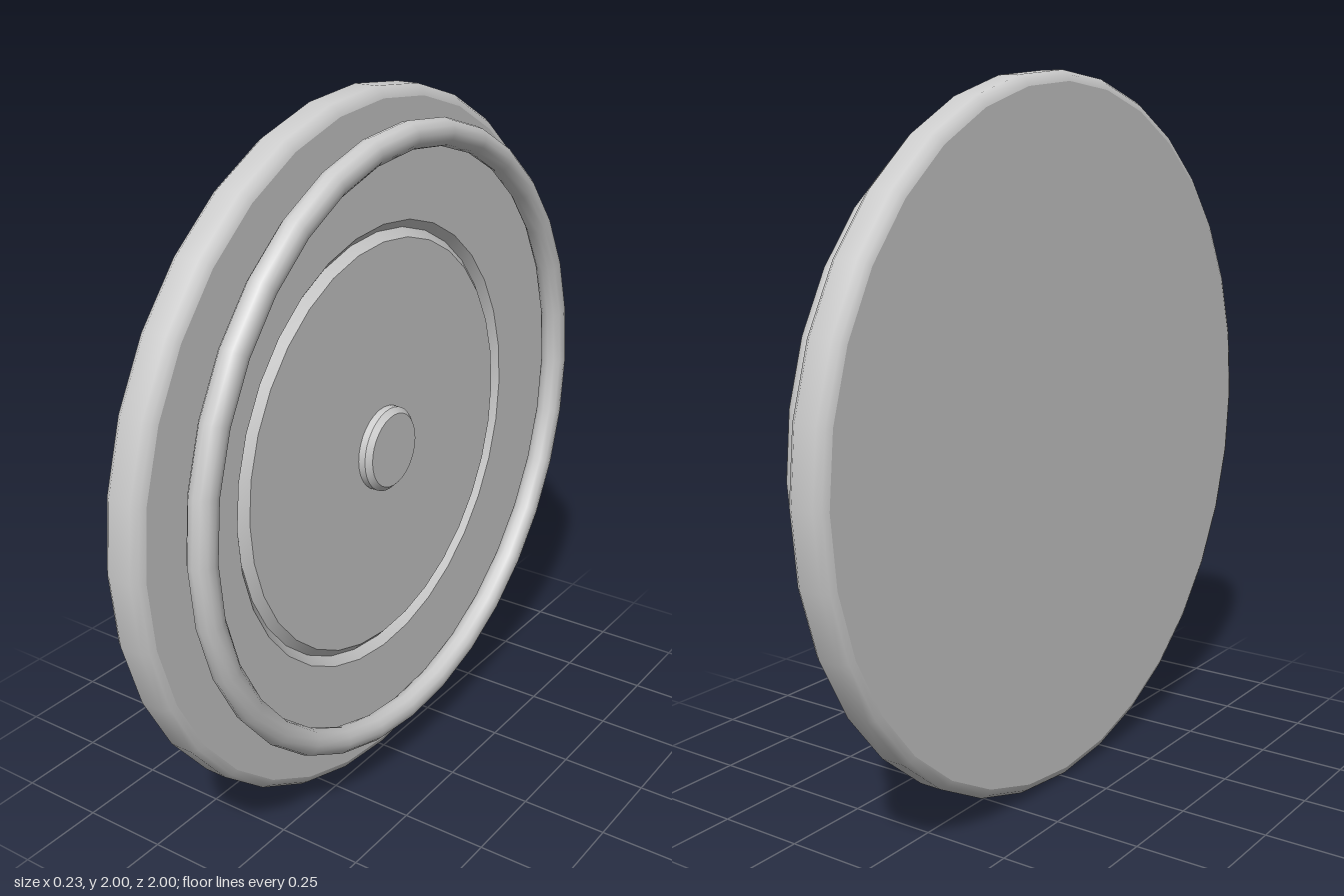
import * as THREE from 'three';
import { toCreasedNormals } from 'three/addons/utils/BufferGeometryUtils.js';

const SIDES = 32;

export function createModel() {
  const model = new THREE.Group();
  model.name = 'roundPlateWithRing';
  const material = new THREE.MeshStandardMaterial({ color: 0xcccccc });

  const add = (name, geometry, x, y) => {
    const mesh = new THREE.Mesh(geometry, material);
    mesh.name = name;
    mesh.position.set(x, y, 0);
    model.add(mesh);
    return mesh;
  };

  // Turns a [radius, x] profile around the x axis
  const turned = (name, profile, smooth = false) => {
    const points = profile.map(([r, x]) => new THREE.Vector2(r, x));
    let geometry = new THREE.LatheGeometry(points, SIDES);
    if (!smooth) geometry = toCreasedNormals(geometry, 0.3);
    geometry.rotateZ(-Math.PI / 2);
    return add(name, geometry, 0, 1);
  };

  // Plate: flat back, softly rounded rim, front face with a V groove
  turned('plateBack', [[0, -0.114], [0.97, -0.114]]);
  turned('plateRim', [
    [0.97, -0.114], [0.988, -0.107], [1, -0.09],
    [1, -0.024], [0.988, -0.007], [0.97, 0],
  ], true);
  turned('plateFront', [
    [0.97, 0], [0.642, 0], [0.618, -0.022], [0.594, 0], [0, 0],
  ]);

  // Small chamfered hub in the middle
  turned('hub', [[0.122, 0], [0.122, 0.021], [0.107, 0.036], [0, 0.036]]);

  // Ring floating in front of the plate, slightly above its centre
  const ring = new THREE.TorusGeometry(0.858, 0.038, 12, SIDES);
  ring.rotateY(Math.PI / 2);
  add('frontRing', ring, 0.075, 1.026);

  return model;
}
